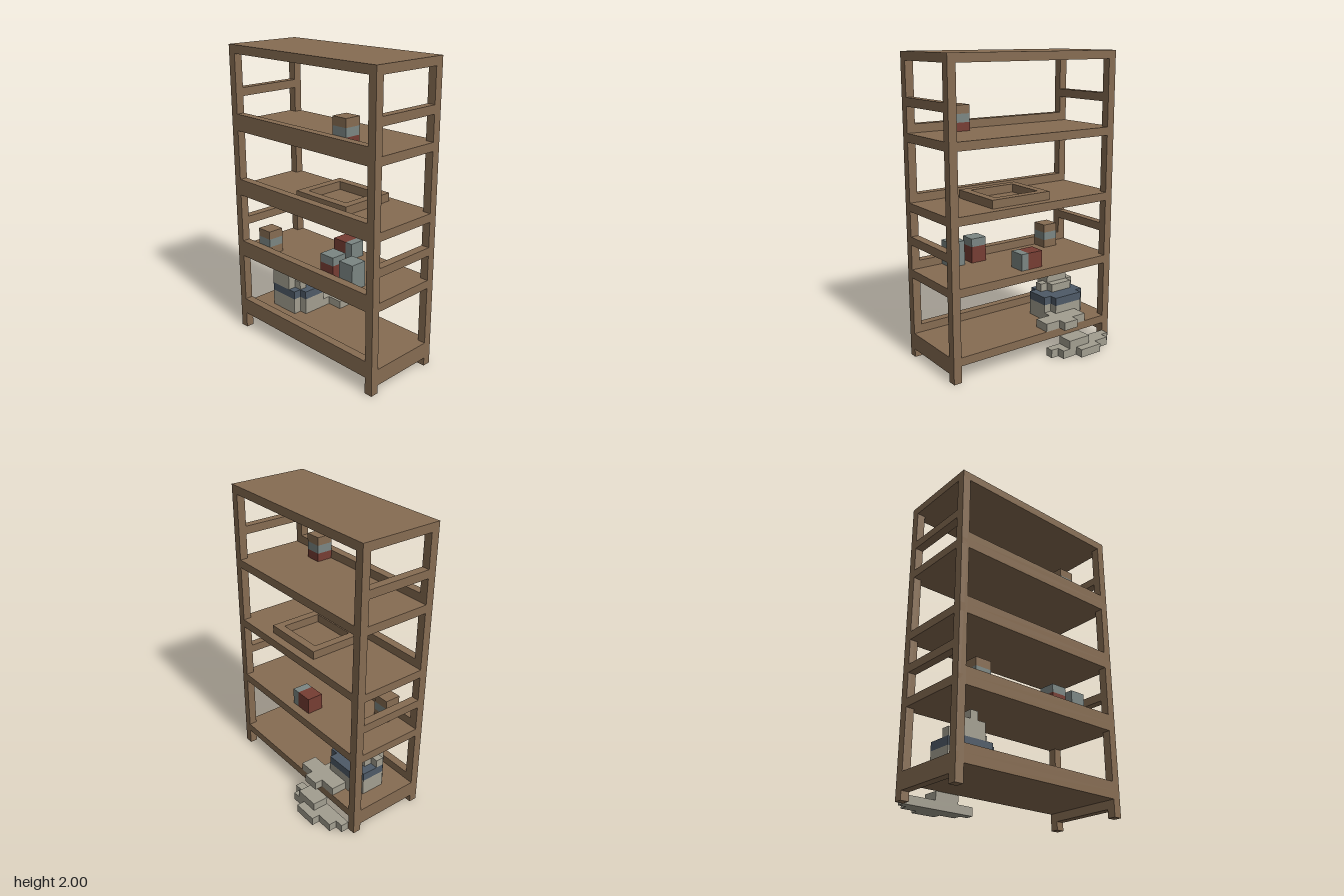
import * as THREE from 'three';

const U = 2 / 36; // block unit
const mat = (name, color) => Object.assign(new THREE.MeshStandardMaterial({ color }), { name });

export function createModel() {
  const wood = mat('wood', 0x866c52);
  const stone = mat('stone', 0xa29e90);
  const slate = mat('slate blue', 0x4e5a67);
  const grey = mat('grey', 0x7b8683);
  const red = mat('red', 0x763d33);

  const model = new THREE.Group();
  model.name = 'storageRack';

  const group = (name) => {
    const g = new THREE.Group();
    g.name = name;
    model.add(g);
    return g;
  };

  // Box given by its limits in block units: x 0..23, y 0..36, z 0..13 (back to front)
  const box = (parent, name, m, x0, x1, y0, y1, z0, z1) => {
    const mesh = new THREE.Mesh(new THREE.BoxGeometry((x1 - x0) * U, (y1 - y0) * U, (z1 - z0) * U), m);
    mesh.position.set(((x0 + x1) / 2 - 11.5) * U, ((y0 + y1) / 2) * U, ((z0 + z1) / 2 - 6.5) * U);
    mesh.name = name;
    parent.add(mesh);
  };

  // Rack: posts, side rails, shelves with a raised front lip
  const rack = group('rack');
  for (const x of [0, 22]) {
    for (const z of [3, 12]) box(rack, 'post', wood, x, x + 1, 0, 35, z, z + 1);
    for (const y of [1, 14, 30]) box(rack, 'sideRail', wood, x, x + 1, y, y + 1, 4, 12);
  }
  box(rack, 'topBoard', wood, 0, 23, 35, 36, 3, 13);
  for (const y of [2, 10, 18, 26]) {
    box(rack, 'shelf', wood, 0, 23, y, y + 1, 3, 13);
    box(rack, 'shelfLip', wood, 1, 22, y + 1, y + 2, 12, 13);
  }

  // Open tray on the third shelf
  const tray = group('tray');
  for (const z of [4, 10]) box(tray, 'trayLongSide', wood, 9, 17, 19, 20, z, z + 1);
  for (const x of [9, 16]) box(tray, 'trayShortSide', wood, x, x + 1, 19, 20, 5, 10);

  // Jars: stacked colour bands, each [material, bottom, top]
  const jar = (name, x, z, bands) => {
    const g = group(name);
    for (const [m, y0, y1] of bands) box(g, 'jarBand', m, x, x + 2, y0, y1, z, z + 2);
  };
  jar('upperJar', 16, 10, [[red, 27, 28], [grey, 28, 29], [wood, 29, 30]]);
  jar('cappedJar', 3, 10, [[wood, 11, 12], [grey, 12, 13], [wood, 13, 14]]);
  jar('redJar', 14, 10, [[red, 11, 13], [grey, 13, 14]]);
  jar('greyJar', 17, 10, [[grey, 11, 14]]);
  jar('lyingJar', 10, 4, [[red, 11, 13]]);
  box(group('lyingJarLid'), 'lid', grey, 12, 13, 11, 13, 4, 6);

  // Rounded layer made of crossing boxes, each [x0, x1, z0, z1]
  const layer = (parent, name, m, y0, y1, parts) => {
    for (const [x0, x1, z0, z1] of parts) box(parent, name, m, x0, x1, y0, y1, z0, z1);
  };

  // Sack on the lowest shelf, with a coloured band and tied top
  const sack = group('sack');
  const round = [[3, 7, 5, 10], [2, 3, 6, 9], [7, 8, 6, 9]];
  layer(sack, 'sackBody', stone, 3, 5, round);
  layer(sack, 'sackBand', slate, 5, 6, round);
  layer(sack, 'sackShoulder', stone, 6, 7, [[3, 6, 7, 10], [2, 3, 8, 9], [6, 7, 8, 9]]);
  layer(sack, 'sackNeck', stone, 7, 8, [[3, 6, 8, 10]]);
  layer(sack, 'sackTip', stone, 8, 9, [[4, 5, 9, 10]]);
  layer(sack, 'sackTie', wood, 8, 9, [[4, 5, 8, 9]]);

  // Spilled heap on the shelf and on the floor behind it
  const spill = group('spill');
  layer(spill, 'shelfSpill', stone, 3, 4, [[4, 10, 3, 5], [6, 8, 2, 3], [7, 8, 5, 6]]);
  layer(spill, 'floorSpill', stone, 0, 1, [[4, 7, 0, 1], [2, 9, 1, 2], [1, 10, 2, 3]]);
  layer(spill, 'floorSpillTop', stone, 1, 2, [[5, 8, 1, 3]]);

  return model;
}
